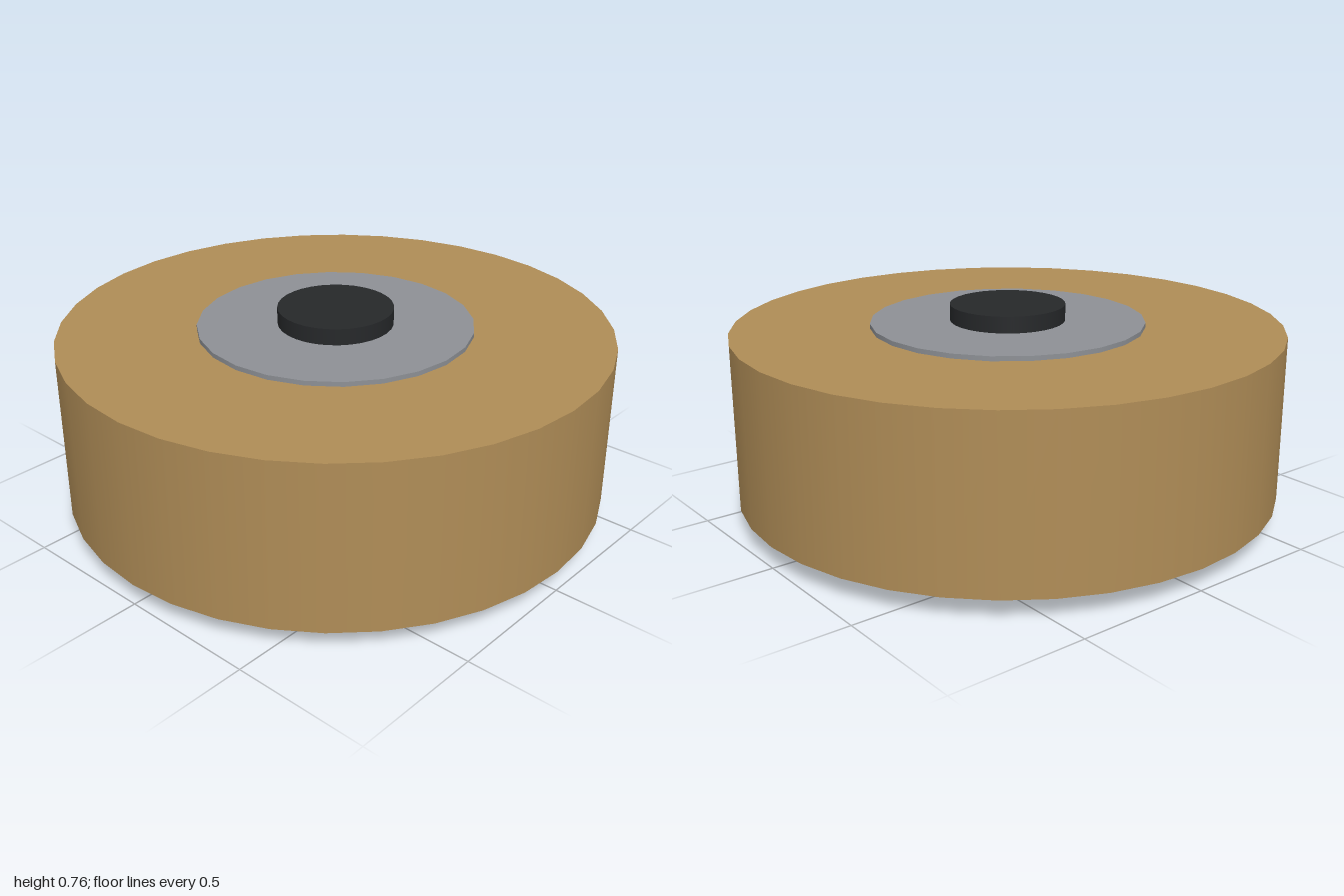
import * as THREE from 'three';

const MID = 0.38; // height of the symmetry plane

// Closed disc centred on the vertical axis
function disc(name, radius, height, sides, color) {
  const mesh = new THREE.Mesh(
    new THREE.CylinderGeometry(radius, radius, height, sides),
    new THREE.MeshStandardMaterial({ color })
  );
  mesh.name = name;
  mesh.position.y = MID;
  return mesh;
}

export function createModel() {
  const group = new THREE.Group();
  group.name = 'roller';

  // Wide wheel body
  group.add(disc('wheelBody', 1, 0.606, 36, 0xb08d57));

  // Hub plate showing as a thin washer on both faces
  group.add(disc('hubPlate', 0.5, 0.64, 24, 0x8e9196));

  // Axle running through and protruding at both ends
  group.add(disc('axle', 0.21, 0.76, 32, 0x26282a));

  return group;
}
